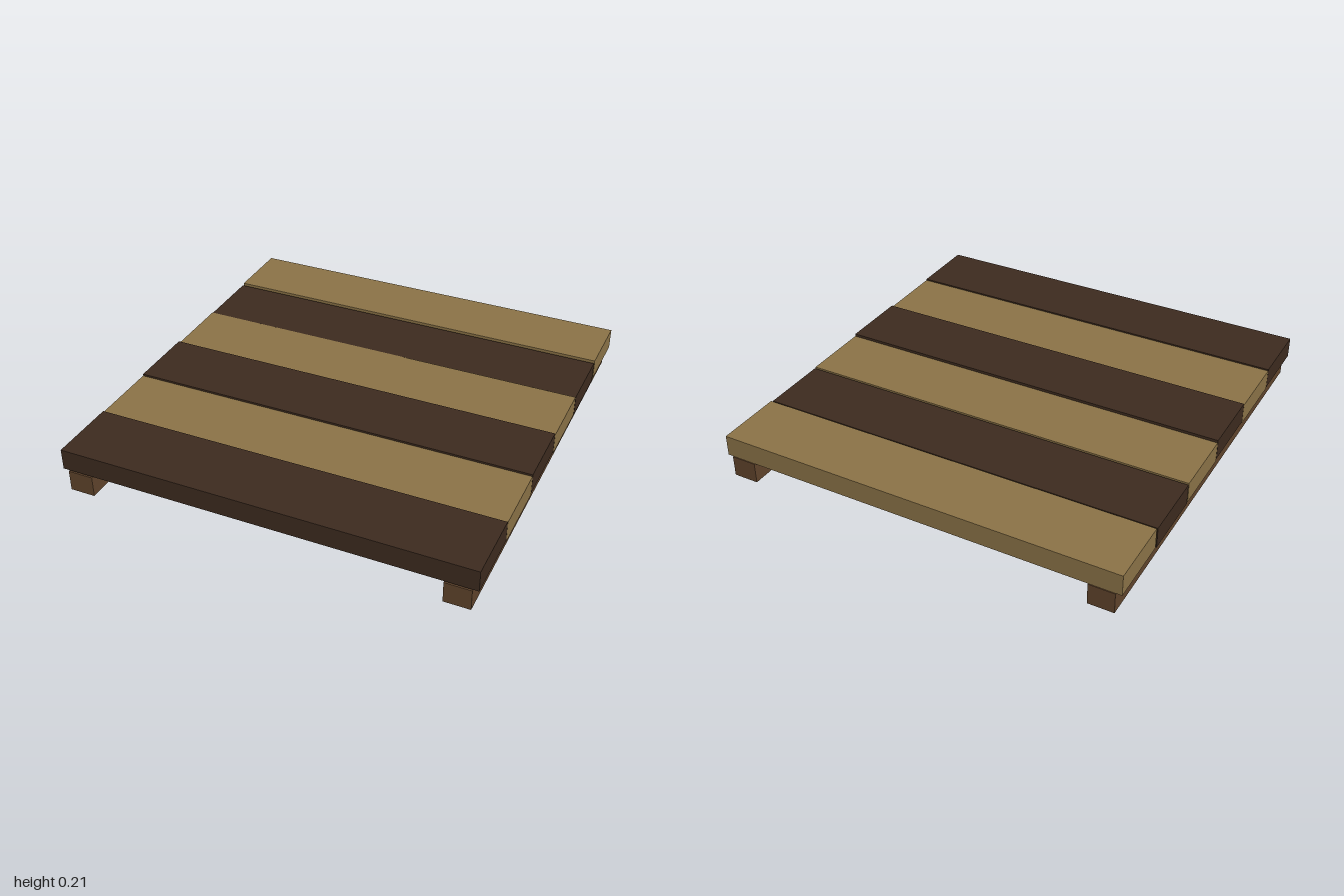
import * as THREE from 'three';

export function createModel() {
  const model = new THREE.Group();
  model.name = 'plankPlatform';

  const paint = (color) => new THREE.MeshStandardMaterial({ color });
  const lightWood = paint(0x8b7347);
  const darkWood = paint(0x3d2b1f);
  const railWood = paint(0x60442c);

  function addBox(name, size, position, material) {
    const mesh = new THREE.Mesh(new THREE.BoxGeometry(...size), material);
    mesh.name = name;
    mesh.position.set(...position);
    model.add(mesh);
  }

  // Two support rails running front to back
  for (const side of [1, -1]) {
    addBox(side > 0 ? 'leftRail' : 'rightRail', [0.12, 0.1, 2], [side * 0.88, 0.05, 0], railWood);
  }

  // Planks from back to front, slightly uneven: [back z, front z, centre height]
  const planks = [
    [-0.996, -0.675, 0.15],
    [-0.663, -0.34, 0.143],
    [-0.334, -0.002, 0.147],
    [0.001, 0.331, 0.158],
    [0.333, 0.667, 0.15],
    [0.669, 0.998, 0.156],
  ];
  planks.forEach(([back, front, y], i) => {
    addBox(`plank${i + 1}`, [1.934, 0.1, front - back], [0, y, (back + front) / 2], i % 2 ? darkWood : lightWood);
  });

  return model;
}
